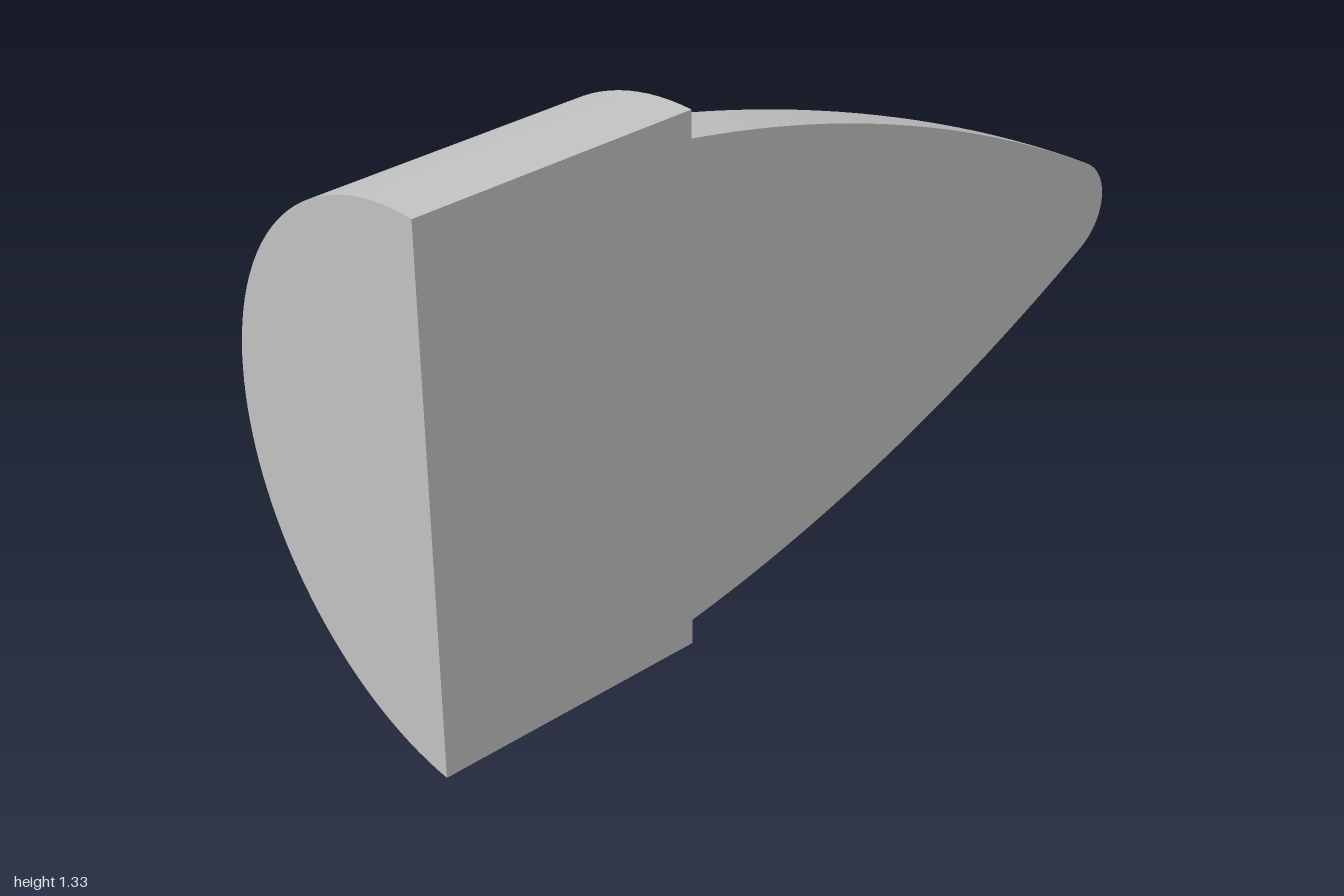
import * as THREE from 'three';

const R = 0.667, BACK = -1, STEP = -0.315, SEGMENTS = 64;

export function createModel() {
  const model = new THREE.Group();
  const grey = new THREE.MeshStandardMaterial({ color: 0xc2c2c2, side: THREE.DoubleSide });
  grey.name = 'light grey';

  const add = (name, geometry) => {
    const mesh = new THREE.Mesh(geometry, grey);
    mesh.name = name;
    mesh.position.set(0, R, 1 / 3);
    model.add(mesh);
    return mesh;
  };

  // Half revolution about the x axis, on the rear (-z) side; points are (radius, x)
  const halfLathe = (points) =>
    new THREE.LatheGeometry(points, SEGMENTS, Math.PI / 2, Math.PI).rotateZ(-Math.PI / 2);

  // Nose outline: a gentle curve that meets a small rounded tip tangentially
  const outline = new THREE.QuadraticBezierCurve(
    new THREE.Vector2(0.602, STEP),
    new THREE.Vector2(0.489, 0.31),
    new THREE.Vector2(0.114, 0.936),
  ).getPoints(32);
  const tipRadius = 0.133, tipStart = Math.asin(0.114 / tipRadius);
  for (let i = 1; i <= 12; i++) {
    const a = tipStart * (1 - i / 12);
    outline.push(new THREE.Vector2(tipRadius * Math.sin(a), 1 - tipRadius + tipRadius * Math.cos(a)));
  }

  // Curved surfaces
  add('noseCone', halfLathe(outline));
  add('baseCylinder', halfLathe([new THREE.Vector2(R, BACK), new THREE.Vector2(R, STEP)]));

  // Half disc closing the base
  add('baseCap', new THREE.CircleGeometry(R, SEGMENTS, Math.PI / 2, Math.PI)
    .rotateY(-Math.PI / 2).translate(BACK, 0, 0));

  // Step between base and nose: eight-sided outer rim, smooth inner rim
  const rim = [];
  const arc = (radius, sides, from, to) => {
    for (let i = 0; i <= sides; i++) {
      const a = from + (to - from) * i / sides;
      rim.push(new THREE.Vector2(radius * Math.cos(a), radius * Math.sin(a)));
    }
  };
  arc(R, 8, -Math.PI / 2, Math.PI / 2);
  arc(0.602, SEGMENTS, Math.PI / 2, -Math.PI / 2);
  add('shoulderRing', new THREE.ShapeGeometry(new THREE.Shape(rim))
    .rotateY(Math.PI / 2).translate(STEP, 0, 0));

  // Flat cut face on the front
  const upper = [[BACK, R], [STEP, R]].map(([x, y]) => new THREE.Vector2(x, y))
    .concat(outline.map((p) => new THREE.Vector2(p.y, p.x)));
  const lower = upper.slice(0, -1).map((p) => new THREE.Vector2(p.x, -p.y));
  add('cutFace', new THREE.ShapeGeometry(new THREE.Shape([...lower, ...upper.reverse()])));

  return model;
}
